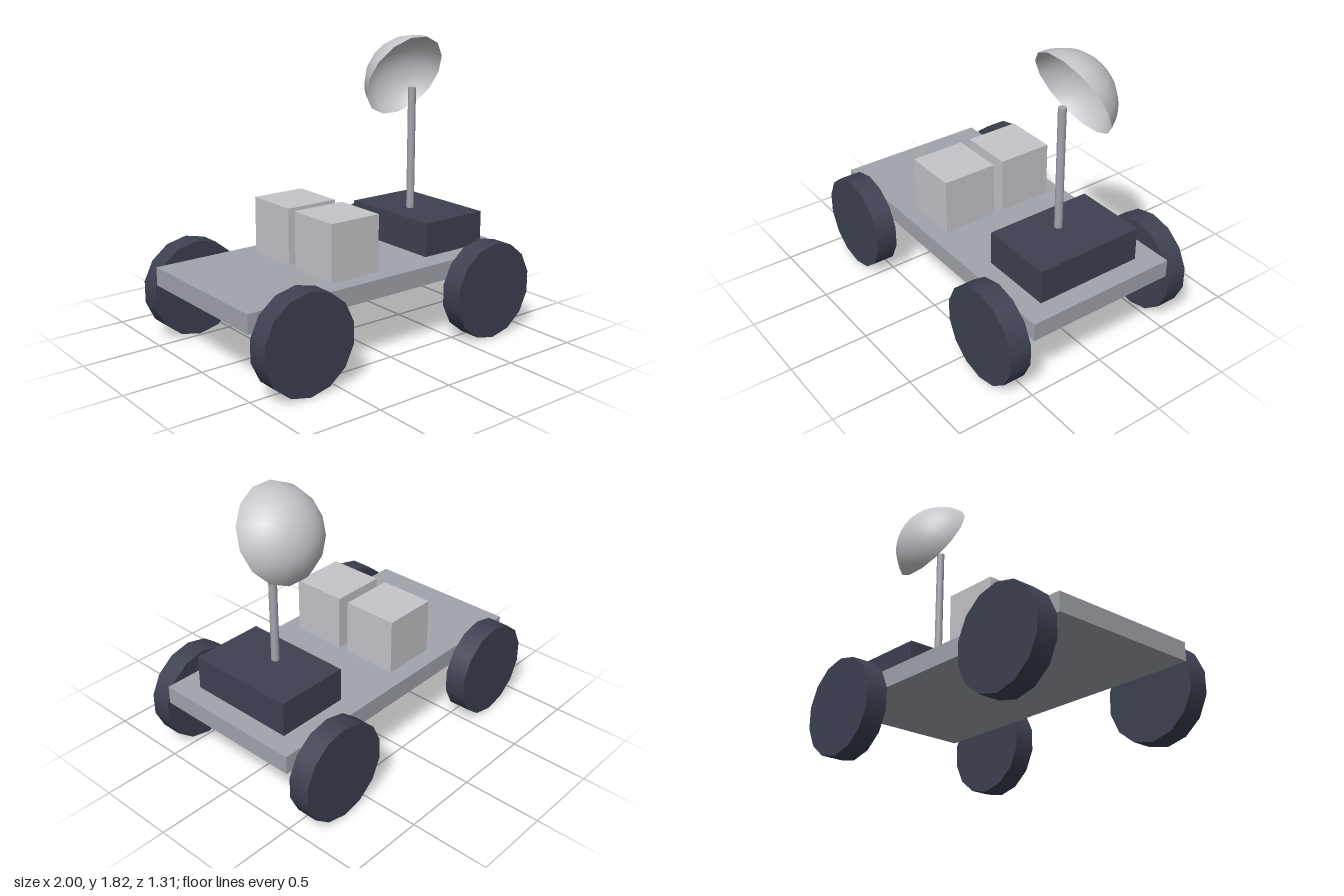
import * as THREE from 'three';

const material = (name, color, extra = {}) => {
  const m = new THREE.MeshStandardMaterial({ color, ...extra });
  m.name = name;
  return m;
};

export function createModel() {
  const grey = material('chassis grey', 0xa2a4ac);
  const dark = material('dark slate', 0x3d4151);
  const pale = material('pale grey', 0xc5c5ca, { side: THREE.DoubleSide });

  const model = new THREE.Group();
  model.name = 'rover';

  const add = (name, geometry, mat, x, y, z) => {
    const mesh = new THREE.Mesh(geometry, mat);
    mesh.name = name;
    mesh.position.set(x, y, z);
    model.add(mesh);
    return mesh;
  };

  // Flat deck and the equipment box at its front
  add('chassis', new THREE.BoxGeometry(2, 0.115, 0.99), grey, 0, 0.448, 0);
  add('equipmentBox', new THREE.BoxGeometry(0.47, 0.215, 0.705), dark, 0.64, 0.6125, 0);

  // Two block seats side by side
  const seat = new THREE.BoxGeometry(0.35, 0.355, 0.353);
  for (const side of [-1, 1]) {
    add(side > 0 ? 'frontSeat' : 'backSeat', seat, pale, -0.18, 0.6825, side * 0.21);
  }

  // Four fourteen-sided wheels, axles along z
  const wheel = new THREE.CylinderGeometry(0.305, 0.305, 0.138, 14).rotateX(Math.PI / 2);
  for (const x of [-0.703, 0.703]) {
    for (const z of [-0.586, 0.586]) add('wheel', wheel, dark, x, 0.305, z);
  }

  // Antenna mast
  add('mast', new THREE.CylinderGeometry(0.025, 0.025, 0.79, 14), grey, 0.585, 1.107, 0);

  // Open dish: a thin spherical cap tipped backwards
  const dish = new THREE.SphereGeometry(0.305, 14, 10, 0, Math.PI * 2, 0, 1.285);
  add('dish', dish, pale, 0.585, 1.526, 0.005).rotation.x = -1.1;

  return model;
}
